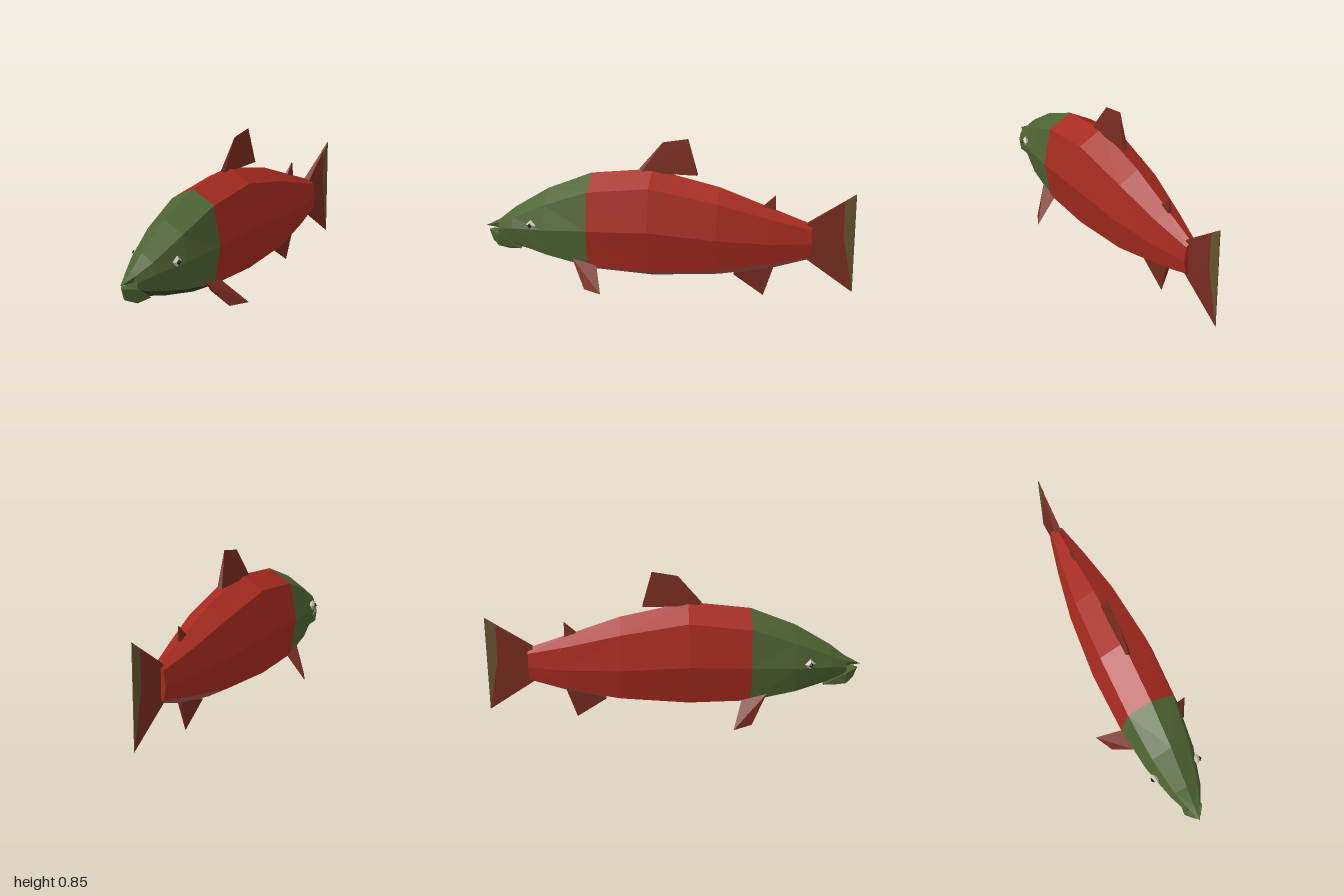
import * as THREE from 'three';
import { ConvexGeometry } from 'three/addons/geometries/ConvexGeometry.js';

const paint = (name, color) => {
  const m = new THREE.MeshStandardMaterial({ color });
  m.name = name;
  return m;
};

// Body stations from snout to tail: z, then [halfWidth, y] for back, shoulder, flank, lower edge, keel
const STATIONS = [
  [0.92, [0, 0.345], [0.033, 0.335], [0.043, 0.3], [0.035, 0.265], [0, 0.25]],
  [0.83, [0, 0.42], [0.065, 0.38], [0.085, 0.325], [0.06, 0.235], [0, 0.2]],
  [0.64, [0, 0.54], [0.105, 0.475], [0.138, 0.345], [0.105, 0.195], [0, 0.145]],
  [0.4, [0, 0.64], [0.128, 0.57], [0.167, 0.365], [0.13, 0.157], [0, 0.092]],
  [0.07, [0, 0.68], [0.13, 0.61], [0.175, 0.38], [0.13, 0.15], [0, 0.078]],
  [-0.29, [0, 0.6], [0.108, 0.54], [0.142, 0.35], [0.108, 0.17], [0, 0.11]],
  [-0.57, [0, 0.5], [0.07, 0.46], [0.09, 0.33], [0.07, 0.215], [0, 0.165]],
  [-0.78, [0, 0.425], [0.032, 0.405], [0.042, 0.33], [0.032, 0.255], [0, 0.235]],
];

const fromTriangles = (points) => {
  const g = new THREE.BufferGeometry().setFromPoints(points);
  g.computeVertexNormals();
  return g;
};

const point = (i, j, s) => new THREE.Vector3(s * STATIONS[i][j + 1][0], STATIONS[i][j + 1][1], STATIONS[i][0]);

// Skin between stations i0..i1 and profile points j0..j1, on both sides
function skin(i0, i1, j0, j1) {
  const pts = [];
  for (const s of [1, -1])
    for (let i = i0; i < i1; i++)
      for (let j = j0; j < j1; j++) {
        const a = point(i, j, s), b = point(i, j + 1, s);
        const c = point(i + 1, j + 1, s), d = point(i + 1, j, s);
        pts.push(...(s > 0 ? [a, b, c, a, c, d] : [a, c, b, a, d, c]));
      }
  return fromTriangles(pts);
}

// Flat end closing the body at station i; dir is +1 facing front, -1 facing back
function cap(i, dir) {
  const pts = [];
  const mid = new THREE.Vector3(0, point(i, 2, 1).y, STATIONS[i][0]);
  for (const s of [1, -1])
    for (let j = 0; j < 4; j++) {
      const a = point(i, j, s), b = point(i, j + 1, s);
      pts.push(...(s * dir > 0 ? [mid, b, a] : [mid, a, b]));
    }
  return fromTriangles(pts);
}

const hull = (points) => new ConvexGeometry(points.map((p) => new THREE.Vector3(...p)));

// The same point on both sides of the fish
const pair = (x, y, z) => [[x, y, z], [-x, y, z]];

// Upright fin: thick root (front and rear [z, y]) thinning to a sharp edge
const fin = (root, edge, t) => hull([
  ...root.flatMap(([z, y]) => pair(t, y, z)),
  ...edge.map(([z, y]) => [0, y, z]),
]);

export function createModel() {
  const fish = new THREE.Group();
  fish.name = 'fish';
  const red = paint('bodyRed', 0xa62a1f);
  const green = paint('headGreen', 0x4e6433);
  const belly = paint('bellyPink', 0xa4574c);
  const throat = paint('throatDarkGreen', 0x32452a);
  const finRed = paint('finBrownRed', 0x782c20);
  const olive = paint('tailOlive', 0x65522f);
  const white = paint('eyeIvory', 0xcfc8b4);
  const black = paint('pupilBlack', 0x1a1815);

  const add = (name, geometry, material) => {
    const mesh = new THREE.Mesh(geometry, material);
    mesh.name = name;
    fish.add(mesh);
    return mesh;
  };

  // Body and head
  add('head', skin(0, 3, 0, 3), green);
  add('throat', skin(0, 3, 3, 4), throat);
  add('mouth', cap(0, 1), green);
  add('body', skin(3, 7, 0, 3), red);
  add('belly', skin(3, 7, 3, 4), belly);
  add('tailRoot', cap(7, -1), red);

  // Hooked upper jaw and heavy lower jaw
  add('upperJaw', hull([
    [0, 0.345, 0.92], ...pair(0.033, 0.335, 0.918), ...pair(0.02, 0.3, 0.918), [0, 0.302, 1],
  ]), green);
  add('lowerJaw', hull([
    [0, 0.28, 0.985], [0, 0.22, 0.965], [0, 0.175, 0.87],
    ...pair(0.054, 0.272, 0.92), ...pair(0.02, 0.28, 0.97),
    ...pair(0.045, 0.205, 0.92), ...pair(0.03, 0.19, 0.8),
  ]), green);

  // Fins along the midline
  add('dorsalFin', fin([[0.13, 0.66], [-0.17, 0.66]], [[0.14, 0.678], [0.015, 0.828], [-0.12, 0.853]], 0.014), finRed);
  add('adiposeFin', fin([[-0.51, 0.5], [-0.585, 0.47]], [[-0.585, 0.575]], 0.01), finRed);
  add('analFin', fin([[-0.37, 0.125], [-0.585, 0.18]], [[-0.37, 0.112], [-0.53, 0.005]], 0.012), finRed);

  // Tail wedge, with an olive trailing edge laid just over it
  const edge = [[0, 0.605, -1], [0, 0.06, -1]];
  add('tailFin', hull([
    ...pair(0.018, 0.43, -0.755), ...pair(0.018, 0.235, -0.755), ...pair(0.007, 0.36, -0.944), ...edge,
  ]), finRed);
  add('tailEdge', hull([
    ...pair(0.007, 0.563, -0.943), ...pair(0.01, 0.37, -0.943), ...pair(0.002, 0.605, -1), ...pair(0.002, 0.06, -1),
  ]), olive);

  // Paired fins and eyes
  for (const [side, s] of [['left', 1], ['right', -1]]) {
    add(side + 'PectoralFin', hull([
      [s * 0.13, 0.195, 0.485], [s * 0.138, 0.14, 0.45], [s * 0.14, 0.165, 0.35],
      [s * 0.22, 0.058, 0.4], [s * 0.272, 0.058, 0.3],
    ]), finRed);
    const eye = add(side + 'Eye', new THREE.OctahedronGeometry(0.03), white);
    eye.scale.x = 0.75;
    eye.rotation.y = -s * 0.27;
    eye.position.set(s * 0.122, 0.365, 0.71);
    const pupil = add(side + 'Pupil', new THREE.OctahedronGeometry(0.015), black);
    pupil.scale.x = 0.7;
    pupil.rotation.y = -s * 0.27;
    pupil.position.set(s * 0.136, 0.365, 0.714);
  }
  return fish;
}
